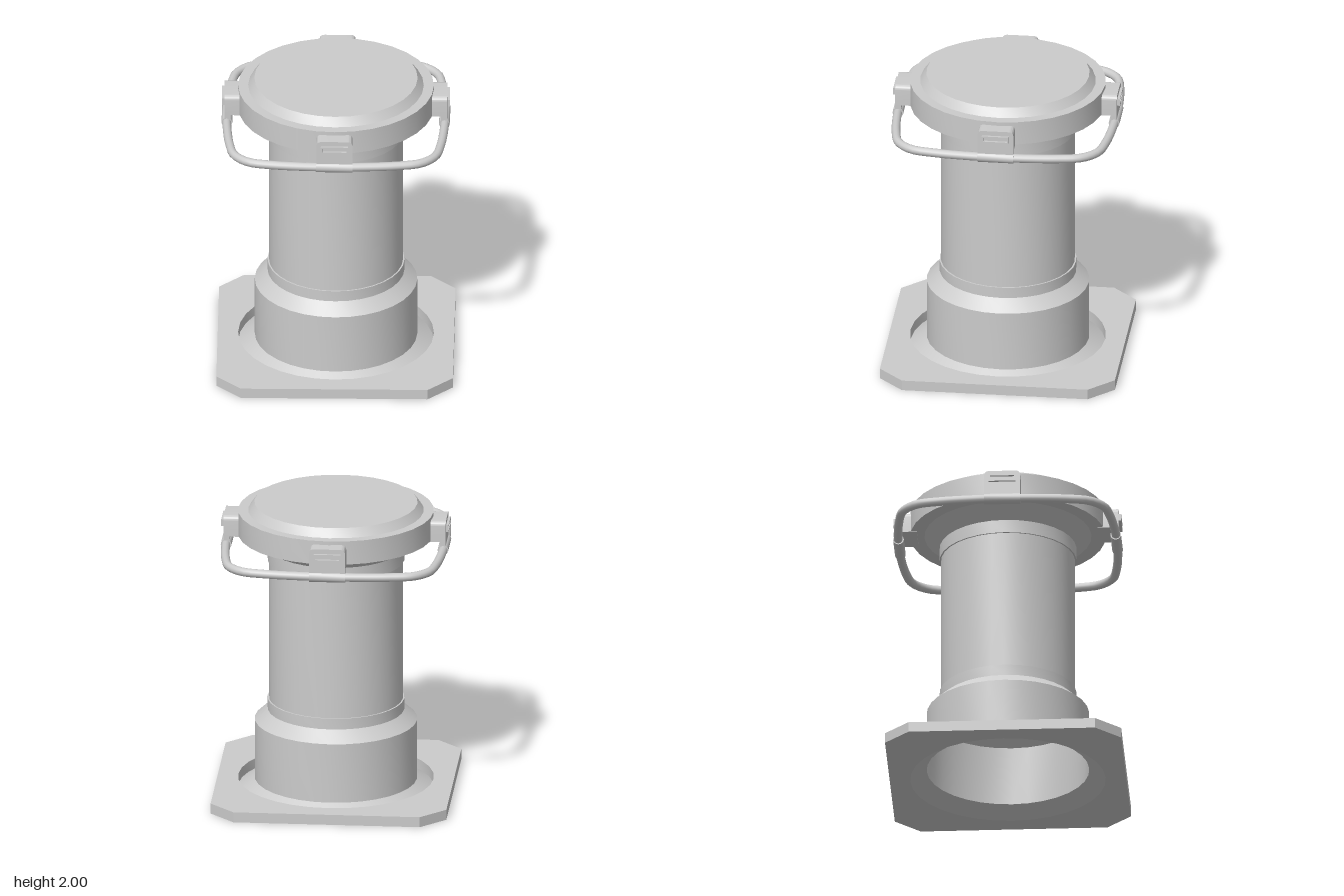
import * as THREE from 'three';
import { toCreasedNormals } from 'three/addons/utils/BufferGeometryUtils.js';

const SEGMENTS = 32;
const solid = new THREE.MeshStandardMaterial({ color: 0xcccccc });
const thin = new THREE.MeshStandardMaterial({ color: 0xcccccc, side: THREE.DoubleSide });

function part(name, geometry, material = solid) {
  const mesh = new THREE.Mesh(geometry, material);
  mesh.name = name;
  return mesh;
}

// Turned part from [radius, height] pairs, bottom to top
function turned(name, profile, material) {
  const points = profile.map(([r, y]) => new THREE.Vector2(r, y));
  return part(name, toCreasedNormals(new THREE.LatheGeometry(points, SEGMENTS), 0.5), material);
}

function extruded(name, shape, depth, z) {
  const geometry = new THREE.ExtrudeGeometry(shape, { depth, bevelEnabled: false, curveSegments: 16 });
  geometry.translate(0, 0, z);
  return part(name, toCreasedNormals(geometry, 0.5));
}

function rectangle(w, y0, y1) {
  return [[-w, y0], [w, y0], [w, y1], [-w, y1]].map(([x, y]) => new THREE.Vector2(x, y));
}

// Square plate with cut corners and a round opening
function createBasePlate() {
  const a = 0.785, b = 0.62;
  const corners = [[a, -b], [a, b], [b, a], [-b, a], [-a, b], [-a, -b], [-b, -a], [b, -a]];
  const shape = new THREE.Shape(corners.map(([x, y]) => new THREE.Vector2(x, y)));
  const hole = new THREE.Path();
  hole.absarc(0, 0, 0.65, 0, Math.PI * 2, true);
  shape.holes.push(hole);
  const plate = extruded('basePlate', shape, 0.07, 0);
  plate.geometry.rotateX(-Math.PI / 2);
  return plate;
}

// Closed, softly squared ring
function createHandle() {
  const quarter = [[0.725, 0], [0.72, 0.2], [0.7, 0.42], [0.665, 0.57], [0.57, 0.665], [0.42, 0.7], [0.2, 0.72]];
  const points = [];
  for (let i = 0; i < 4; i++) {
    for (const [x, z] of quarter) {
      points.push(new THREE.Vector3(x, 1.72, z).applyAxisAngle(new THREE.Vector3(0, 1, 0), -i * Math.PI / 2));
    }
  }
  const curve = new THREE.CatmullRomCurve3(points, true);
  return part('ringHandle', new THREE.TubeGeometry(curve, 112, 0.029, 12, true));
}

// Clip that holds the ring to the cap, built on the +z side
function createClip() {
  const clip = new THREE.Group();
  clip.name = 'clip';
  const w = 0.12, top = 1.917, r = 0.035;

  const block = new THREE.Shape();
  block.moveTo(-w, 1.775);
  block.lineTo(w, 1.775);
  block.lineTo(w, top - r);
  block.quadraticCurveTo(w, top, w - r, top);
  block.lineTo(-w + r, top);
  block.quadraticCurveTo(-w, top, -w, top - r);
  clip.add(extruded('clipBlock', block, 0.14, 0.6));

  const tab = new THREE.Shape(rectangle(w, 1.72, 1.78));
  clip.add(extruded('clipTab', tab, 0.04, 0.7));

  // Sleeve around the ring
  const sleeve = new THREE.CylinderGeometry(0.036, 0.036, 2 * w, 16);
  sleeve.rotateZ(Math.PI / 2).translate(0, 1.72, 0.722);
  clip.add(part('clipSleeve', toCreasedNormals(sleeve, 0.5)));

  // Raised slot frame on the face
  const frame = new THREE.Shape(rectangle(0.09, 1.837, 1.885));
  frame.holes.push(new THREE.Path(rectangle(0.08, 1.847, 1.875)));
  clip.add(extruded('clipSlotFrame', frame, 0.02, 0.737));
  return clip;
}

export function createModel() {
  const model = new THREE.Group();
  model.name = 'flangedPipeWithCap';

  model.add(createBasePlate());

  // Hollow column with flared foot, stepped collars and flared neck
  model.add(turned('column', [
    [0.65, 0], [0.54, 0.07], [0.54, 0.48], [0.455, 0.555], [0.455, 0.63], [0.445, 0.63],
    [0.445, 1.6], [0.455, 1.6], [0.455, 1.69], [0.555, 1.78],
  ], thin));

  model.add(turned('cap', [
    [0, 1.78], [0.65, 1.78], [0.65, 1.943], [0.583, 1.943], [0.542, 2], [0, 2],
  ]));

  model.add(createHandle());
  for (let i = 0; i < 4; i++) {
    const clip = createClip();
    clip.rotation.y = i * Math.PI / 2;
    model.add(clip);
  }
  return model;
}
